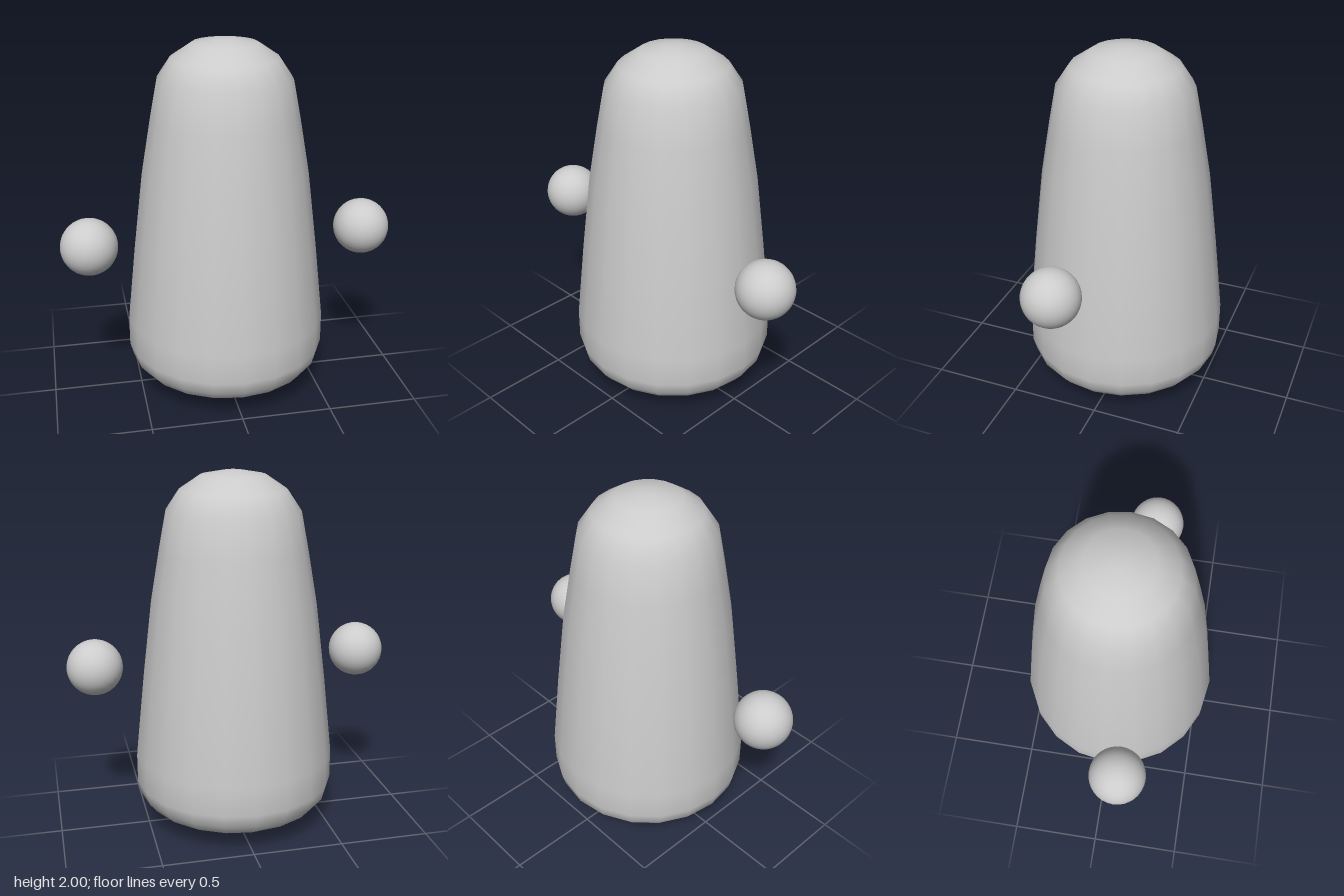
import * as THREE from 'three';

export function createModel() {
  const group = new THREE.Group();
  const material = new THREE.MeshStandardMaterial({ color: 0xcccccc });

  function add(name, geometry, parent, x = 0, y = 0, z = 0) {
    const mesh = new THREE.Mesh(geometry, material);
    mesh.name = name;
    mesh.position.set(x, y, z);
    parent.add(mesh);
    return mesh;
  }

  // Tapered body with a domed top and rounded base, 20 sides
  const profile = [
    [0, 0.092], [0.38, 0.092], [0.44, 0.102], [0.495, 0.135], [0.54, 0.19],
    [0.558, 0.26], [0.558, 0.425], [0.51, 0.86], [0.457, 1.285], [0.405, 1.58],
    [0.364, 1.79], [0.29, 1.9], [0.175, 1.977], [0.05, 2], [0, 2],
  ].map(([r, y]) => new THREE.Vector2(r, y));
  add('body', new THREE.LatheGeometry(profile, 20), group);

  // Floating round hands
  const handGeometry = new THREE.SphereGeometry(0.155, 32, 20);
  add('leftHand', handGeometry, group, 0.763, 0.93, 0.105);
  add('rightHand', handGeometry, group, -0.763, 0.93, 0.105);

  // Underside hooks: a thin square plate carrying a ring
  const plateGeometry = new THREE.BoxGeometry(0.165, 0.014, 0.165);
  const ringGeometry = new THREE.TorusGeometry(0.046, 0.02, 10, 24);
  ringGeometry.rotateY(Math.PI / 2);
  [[0.212, 0.2], [-0.182, 0.2], [0, -0.2]].forEach(([x, z]) => {
    const hook = new THREE.Group();
    hook.name = 'hook';
    hook.position.set(x, 0, z);
    add('hookPlate', plateGeometry, hook, 0, 0.088, 0);
    add('hookRing', ringGeometry, hook, 0, 0.066, 0);
    group.add(hook);
  });

  return group;
}
